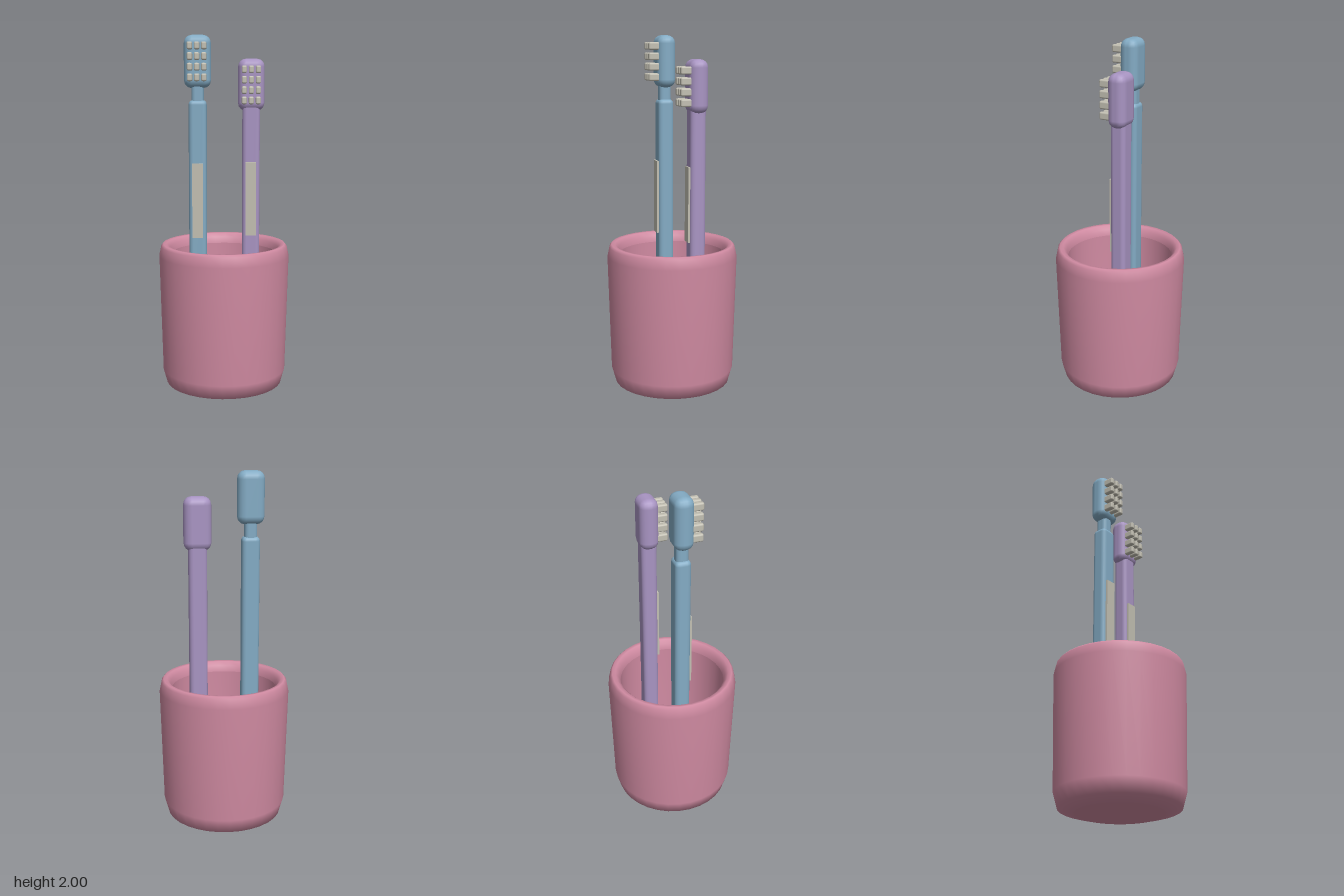
import * as THREE from 'three';
import { RoundedBoxGeometry } from 'three/addons/geometries/RoundedBoxGeometry.js';

const material = (name, color) => {
  const m = new THREE.MeshStandardMaterial({ color });
  m.name = name;
  return m;
};

export function createModel() {
  const pink = material('pink ceramic', 0xcf8aa1);
  const blue = material('blue plastic', 0x83abc4);
  const purple = material('purple plastic', 0xa894c2);
  const cream = material('cream', 0xc2bfb2);

  const add = (parent, name, geometry, mat, x = 0, y = 0, z = 0) => {
    const mesh = new THREE.Mesh(geometry, mat);
    mesh.name = name;
    mesh.position.set(x, y, z);
    parent.add(mesh);
    return mesh;
  };
  const lathe = (pts) => new THREE.LatheGeometry(pts.map(([r, y]) => new THREE.Vector2(r, y)), 32);

  const model = new THREE.Group();
  model.name = 'toothbrushHolder';

  // Cup: outer wall with rolled rim, inner wall, underside and floor
  const cup = new THREE.Group();
  cup.name = 'cup';
  model.add(cup);
  add(cup, 'outerWall', lathe([
    [0.24, 0.005], [0.33, 0.03], [0.352, 0.11], [0.369, 0.77],
    [0.357, 0.825], [0.345, 0.838], [0.325, 0.836], [0.305, 0.815], [0.298, 0.78],
  ]), pink);
  add(cup, 'innerWall', lathe([[0.298, 0.78], [0.29, 0.2], [0.265, 0.1], [0.2, 0.06]]), pink);
  add(cup, 'underside', new THREE.CircleGeometry(0.24, 32).rotateX(Math.PI / 2), pink, 0, 0.005, 0);
  add(cup, 'floor', new THREE.CircleGeometry(0.2, 32).rotateX(-Math.PI / 2), cream, 0, 0.06, 0);

  // Brush facing +z; headY is the centre of its head
  const addBrush = (name, mat, x, z, headY, handleTop) => {
    const brush = new THREE.Group();
    brush.name = name;
    brush.position.set(x, 0, z);
    model.add(brush);
    const bottom = 0.07;
    add(brush, 'handle', new RoundedBoxGeometry(0.1, handleTop - bottom, 0.088, 2, 0.025),
      mat, 0, (handleTop + bottom) / 2, 0);
    add(brush, 'neck', new RoundedBoxGeometry(0.068, 0.26, 0.068, 2, 0.022), mat, 0, headY - 0.19, 0);
    add(brush, 'head', new RoundedBoxGeometry(0.15, 0.29, 0.106, 2, 0.045), mat, 0, headY, 0);
    add(brush, 'grip', new THREE.BoxGeometry(0.06, 0.42, 0.02), cream, 0, 1.085, 0.044);

    // Bristle tufts: three columns by four rows
    const tuft = new RoundedBoxGeometry(0.028, 0.042, 0.075, 2, 0.009);
    for (let row = 0; row < 4; row++) {
      for (let col = -1; col <= 1; col++) {
        add(brush, 'bristleTuft', tuft, cream, col * 0.039, headY + (1.5 - row) * 0.057, 0.0655);
      }
    }
  };
  addBrush('blueBrush', blue, -0.146, 0, 1.855, 1.645);
  addBrush('purpleBrush', purple, 0.152, -0.09, 1.728, 1.645);

  return model;
}
